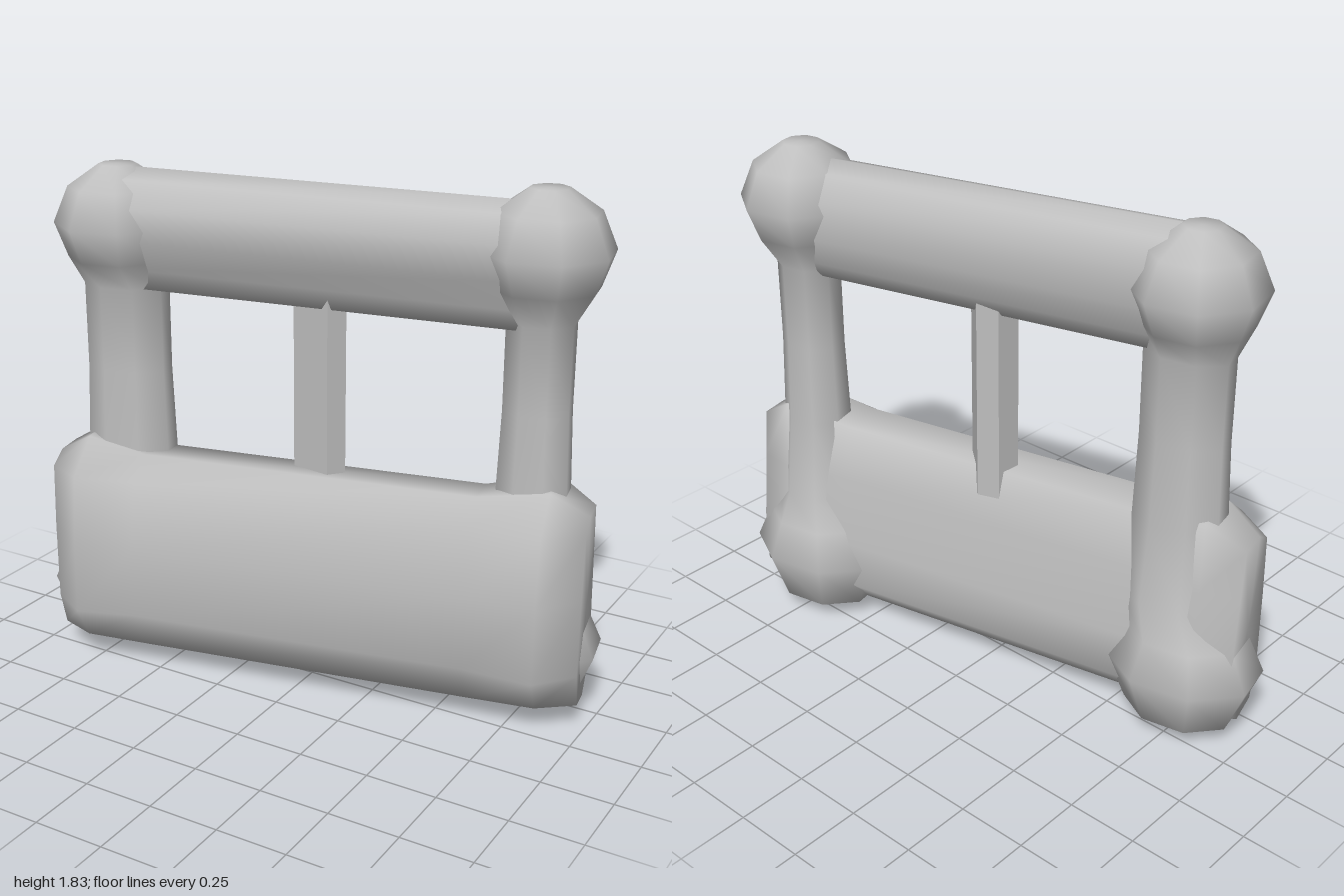
import * as THREE from 'three';

// Skin a list of equal-length rings (counter-clockwise about the path) and cap both ends.
function loft(rings) {
  const n = rings[0].length, pos = rings.flat(2), idx = [];
  for (let i = 0; i < rings.length - 1; i++) {
    for (let j = 0; j < n; j++) {
      const a = i * n + j, b = i * n + (j + 1) % n;
      idx.push(a, b, a + n, b, b + n, a + n);
    }
  }
  [rings[0], rings[rings.length - 1]].forEach((ring, end) => {
    const centre = pos.length / 3, base = end ? (rings.length - 1) * n : 0;
    for (let k = 0; k < 3; k++) pos.push(ring.reduce((s, p) => s + p[k], 0) / n);
    for (let j = 0; j < n; j++) {
      const a = base + j, b = base + (j + 1) % n;
      idx.push(centre, end ? a : b, end ? b : a);
    }
  });
  const g = new THREE.BufferGeometry();
  g.setAttribute('position', new THREE.Float32BufferAttribute(pos, 3));
  g.setIndex(idx);
  g.computeVertexNormals();
  return g;
}

export function createModel() {
  const group = new THREE.Group();
  const frame = new THREE.Group();
  frame.name = 'gateFrame';
  frame.rotation.y = 0.2; // the frame stands slightly turned
  group.add(frame);

  const stone = new THREE.MeshStandardMaterial({ color: 0xbfbfbf });
  stone.name = 'paleGrey';
  const add = (name, geometry) => {
    const m = new THREE.Mesh(geometry, stone);
    m.name = name;
    frame.add(m);
  };

  // Thick lower panel: [z, y] profile, top to front to bottom to back
  const middle = [[0.08, 0.81], [0.18, 0.74], [0.225, 0.5], [0.22, 0.24], [0.14, 0.09],
    [-0.06, 0.07], [-0.15, 0.17], [-0.15, 0.35], [-0.11, 0.6], [-0.07, 0.8]];
  const side = [[0.07, 0.85], [0.205, 0.74], [0.23, 0.5], [0.235, 0.23], [0.155, 0.1],
    [-0.06, 0.05], [-0.17, 0.15], [-0.17, 0.35], [-0.13, 0.6], [-0.11, 0.85]];
  const tip = [[0.03, 0.77], [0.1, 0.73], [0.11, 0.5], [0.11, 0.22], [0.07, 0.09],
    [-0.04, 0.07], [-0.13, 0.15], [-0.13, 0.35], [-0.1, 0.6], [-0.08, 0.77]];
  const panel = [[-0.955, tip], [-0.82, side], [-0.6, middle], [0.6, middle], [0.845, side], [0.975, tip]];
  add('lowerPanel', loft(panel.map(([x, p]) => p.map(([z, y]) => [x, y, z]))));

  // Top rail: a roll that narrows towards its lower edge
  const railProfile = [[-0.02, 1.8], [0.07, 1.77], [0.125, 1.68], [0.115, 1.57], [0.06, 1.46], [0.04, 1.39],
    [-0.08, 1.39], [-0.115, 1.45], [-0.15, 1.55], [-0.15, 1.68], [-0.1, 1.77]];
  add('topRail', loft([-0.72, 0.75].map((x) => railProfile.map(([z, y]) => [x, y + (x < 0 ? 0.015 : -0.01), z]))));

  // End posts swelling into a foot and a top knob; each row is [x, y, half width, half depth, z]
  const ends = [
    { name: 'rightPost', x: -0.695, w: 0.145, foot: -0.75, knob: -0.71, rise: 0 },
    { name: 'leftPost', x: 0.77, w: 0.11, foot: 0.755, knob: 0.775, rise: 0.015 },
  ];
  for (const { name, x, w, foot, knob, rise } of ends) {
    const rows = [
      [foot, 0.005, 0.05, 0.04, -0.05], [foot, 0.07, 0.19, 0.15, -0.05], [foot, 0.25, 0.26, 0.2, -0.05],
      [foot, 0.39, 0.2, 0.16, -0.05], [x, 0.5, w + 0.03, 0.12, -0.04], [x, 0.8, w + 0.01, 0.1, -0.03],
      [x, 1.1, w, 0.09, -0.03], [x, 1.4, w, 0.09, -0.03],
      [knob, 1.5 + rise, 0.17, 0.165, -0.025], [knob, 1.62 + rise, 0.21, 0.21, -0.025],
      [knob, 1.745 + rise, 0.16, 0.165, -0.025], [knob, 1.82 + rise, 0.06, 0.06, -0.025],
    ];
    add(name, loft(rows.map(([cx, y, hw, hd, cz]) => Array.from({ length: 8 }, (_, i) => {
      const t = (i + 0.5) * Math.PI / 4;
      return [cx + 1.08 * hw * Math.sin(t), y, cz + 1.08 * hd * Math.cos(t)];
    }))));
  }

  // Slim faceted upright between the two openings
  const section = [[-0.07, -0.01], [0.07, 0.05], [0.12, 0], [0.04, -0.1], [-0.04, -0.09]];
  const upright = loft([0.7, 1.47].map((y) => section.map(([x, z]) => [x, y, z]))).toNonIndexed();
  upright.computeVertexNormals();
  add('centrePost', upright);

  return group;
}
